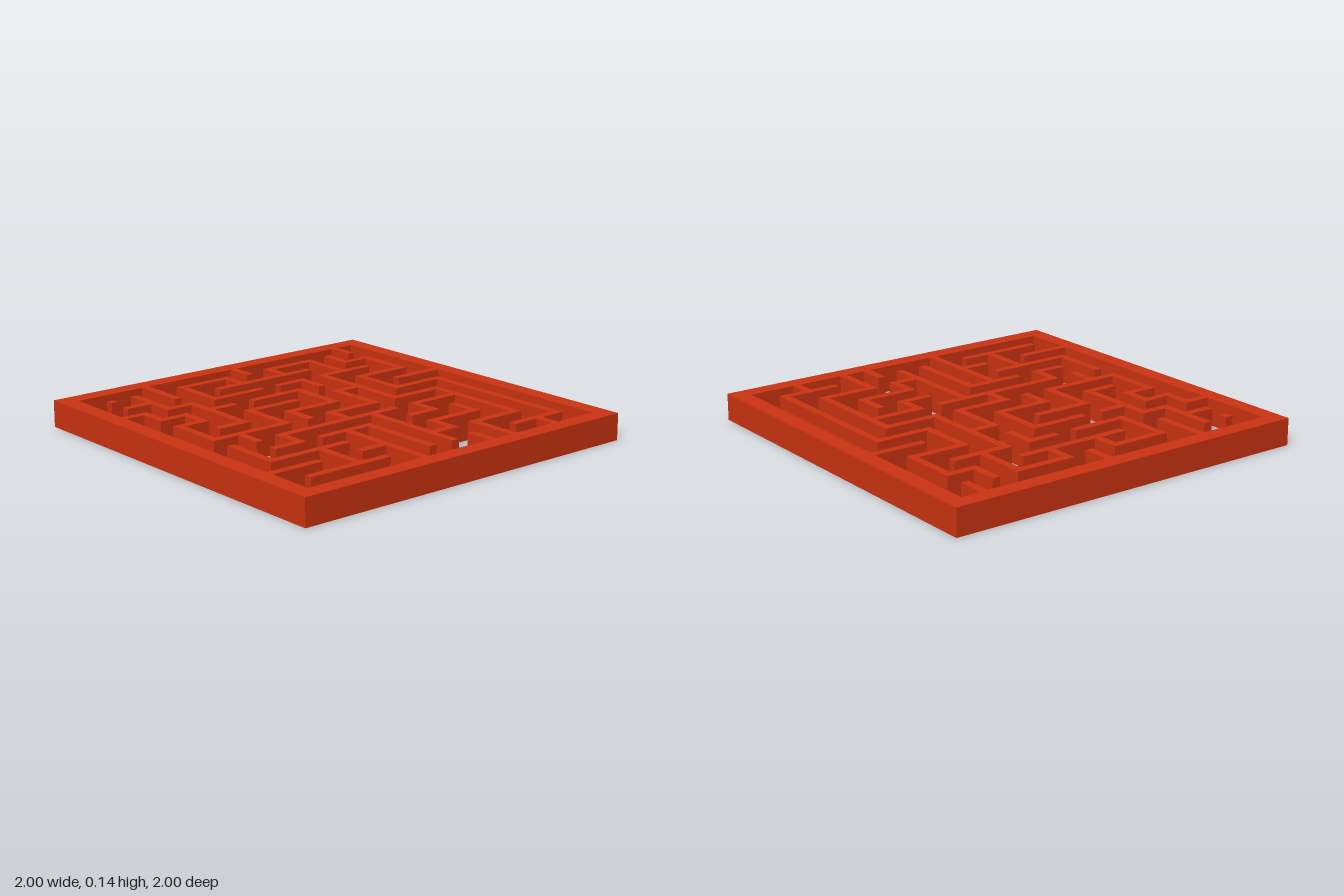
import * as THREE from 'three';

const HEIGHT = 0.14;
const WALL = 0.042;
const INNER = 0.91; // half size of the opening in the frame

// Grid line 0..11 to position; -1 and 12 fall inside the frame
const at = (i) => (i - 5.5) / 7;

// For each grid row (back to front): walls running along x, as [from, to] columns
const rowWalls = [
  [[0, 0], [3, 5], [7, 9]],
  [[0, 1], [4, 8], [10, 11]],
  [[-1, 0], [1, 2], [3, 5], [6, 7], [8, 10]],
  [[0, 1], [2, 3], [4, 6], [9, 11]],
  [[0, 1], [3, 5], [7, 8], [10, 12]],
  [[1, 2], [4, 6], [9, 11]],
  [[0, 3], [5, 7], [8, 10]],
  [[2, 7], [8, 10]],
  [[1, 2], [3, 5], [7, 8]],
  [[0, 3], [7, 9]],
  [[-1, 1], [3, 4], [6, 7], [8, 10]],
  [[0, 3], [9, 11]],
];

// For each grid column (-x to +x): walls running along z, as [from, to] rows
const columnWalls = [
  [[2, 3], [4, 6], [7, 9]],
  [[0, 2], [3, 4], [6, 7]],
  [[-1, 1], [2, 5], [7, 8], [9, 11]],
  [[0, 2], [4, 6]],
  [[5, 6], [8, 12]],
  [[0, 1], [6, 7], [8, 11]],
  [[-1, 0], [3, 5], [7, 11]],
  [[0, 1], [2, 3], [4, 6], [9, 10], [11, 12]],
  [[2, 6], [7, 8], [10, 12]],
  [[0, 2], [3, 5], [8, 9]],
  [[0, 1], [6, 10], [11, 12]],
  [[-1, 0], [1, 3], [5, 11]],
];

function square(target, half) {
  target.moveTo(-half, -half);
  target.lineTo(half, -half);
  target.lineTo(half, half);
  target.lineTo(-half, half);
  target.closePath();
  return target;
}

export function createModel() {
  const model = new THREE.Group();
  model.name = 'maze';
  const material = new THREE.MeshStandardMaterial({ color: 0xcc3311 });

  // Square outer frame with an open middle
  const outline = square(new THREE.Shape(), 1);
  outline.holes.push(square(new THREE.Path(), INNER));
  const frameGeometry = new THREE.ExtrudeGeometry(outline, { depth: HEIGHT, bevelEnabled: false });
  frameGeometry.rotateX(-Math.PI / 2);
  const frame = new THREE.Mesh(frameGeometry, material);
  frame.name = 'outerFrame';
  model.add(frame);

  // Inner walls, each ending half a thickness past its last grid line or at the frame
  const addWalls = (lines, alongX, name) => {
    const group = new THREE.Group();
    group.name = name;
    lines.forEach((spans, line) => {
      for (const [from, to] of spans) {
        const start = Math.max(at(from) - WALL / 2, -INNER);
        const end = Math.min(at(to) + WALL / 2, INNER);
        const length = end - start;
        const middle = (start + end) / 2;
        const geometry = new THREE.BoxGeometry(alongX ? length : WALL, HEIGHT, alongX ? WALL : length);
        const wall = new THREE.Mesh(geometry, material);
        wall.name = 'wall';
        wall.position.set(alongX ? middle : at(line), HEIGHT / 2, alongX ? at(line) : middle);
        group.add(wall);
      }
    });
    model.add(group);
  };
  addWalls(rowWalls, true, 'crosswiseWalls');
  addWalls(columnWalls, false, 'lengthwiseWalls');

  return model;
}
